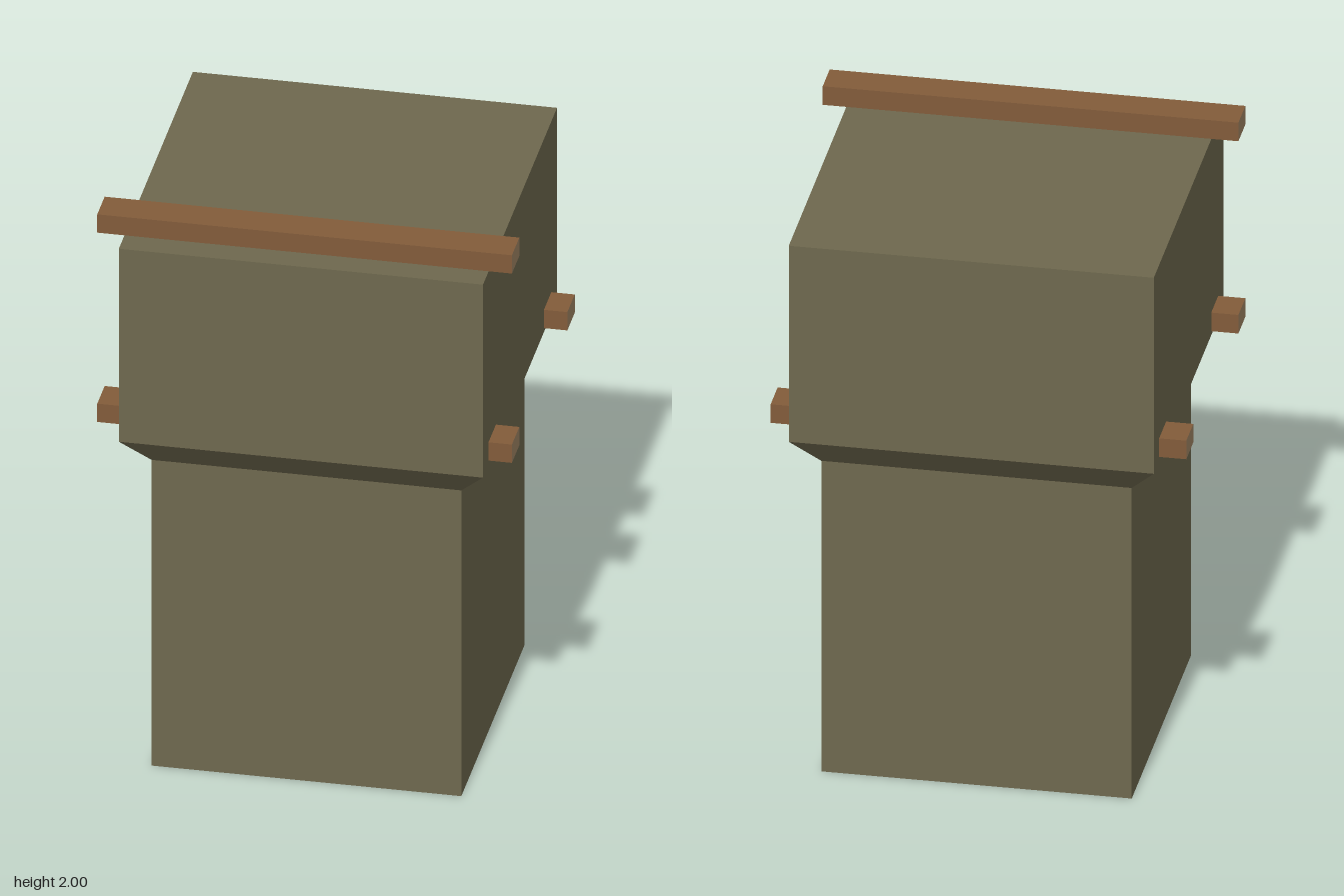
import * as THREE from 'three';

export function createModel() {
  const group = new THREE.Group();
  const olive = new THREE.MeshStandardMaterial({ color: 0x6e684e, side: THREE.DoubleSide });
  olive.name = 'olive';
  const wood = new THREE.MeshStandardMaterial({ color: 0x825c3a });
  wood.name = 'wood';
  const endGrain = new THREE.MeshStandardMaterial({ color: 0xa08464 });
  endGrain.name = 'endGrain';

  const add = (name, geometry, material, x, y, z) => {
    const mesh = new THREE.Mesh(geometry, material);
    mesh.name = name;
    mesh.position.set(x, y, z);
    group.add(mesh);
    return mesh;
  };

  // Open square tube from y0 to y1, given as half widths at bottom and top
  const tube = (name, half0, half1, y0, y1) => {
    const geometry = new THREE.CylinderGeometry(
      half1 * Math.SQRT2, half0 * Math.SQRT2, y1 - y0, 4, 1, true, Math.PI / 4
    ).toNonIndexed();
    geometry.computeVertexNormals();
    add(name, geometry, olive, 0.004, (y0 + y1) / 2, 0);
  };

  // Hollow shaft, open at the bottom, flaring into the wider head
  tube('shaft', 0.506, 0.506, 0, 1.12);
  tube('flare', 0.506, 0.595, 1.12, 1.225);
  tube('head', 0.595, 0.595, 1.225, 1.932);
  const lid = add('lid', new THREE.PlaneGeometry(1.19, 1.19), olive, 0.004, 1.932, 0);
  lid.rotation.x = -Math.PI / 2;

  // Wooden beams with pale cut ends: two through the head, one across the top
  const beamGeometry = new THREE.BoxGeometry(1.355, 0.067, 0.119);
  const beamMaterials = [endGrain, endGrain, wood, wood, wood, wood];
  const beams = [
    ['topBeam', 1.9665, 0.447],
    ['frontBeam', 1.273, 0.447],
    ['backBeam', 1.273, -0.444],
  ];
  for (const [name, y, z] of beams) add(name, beamGeometry, beamMaterials, -0.002, y, z);

  return group;
}
